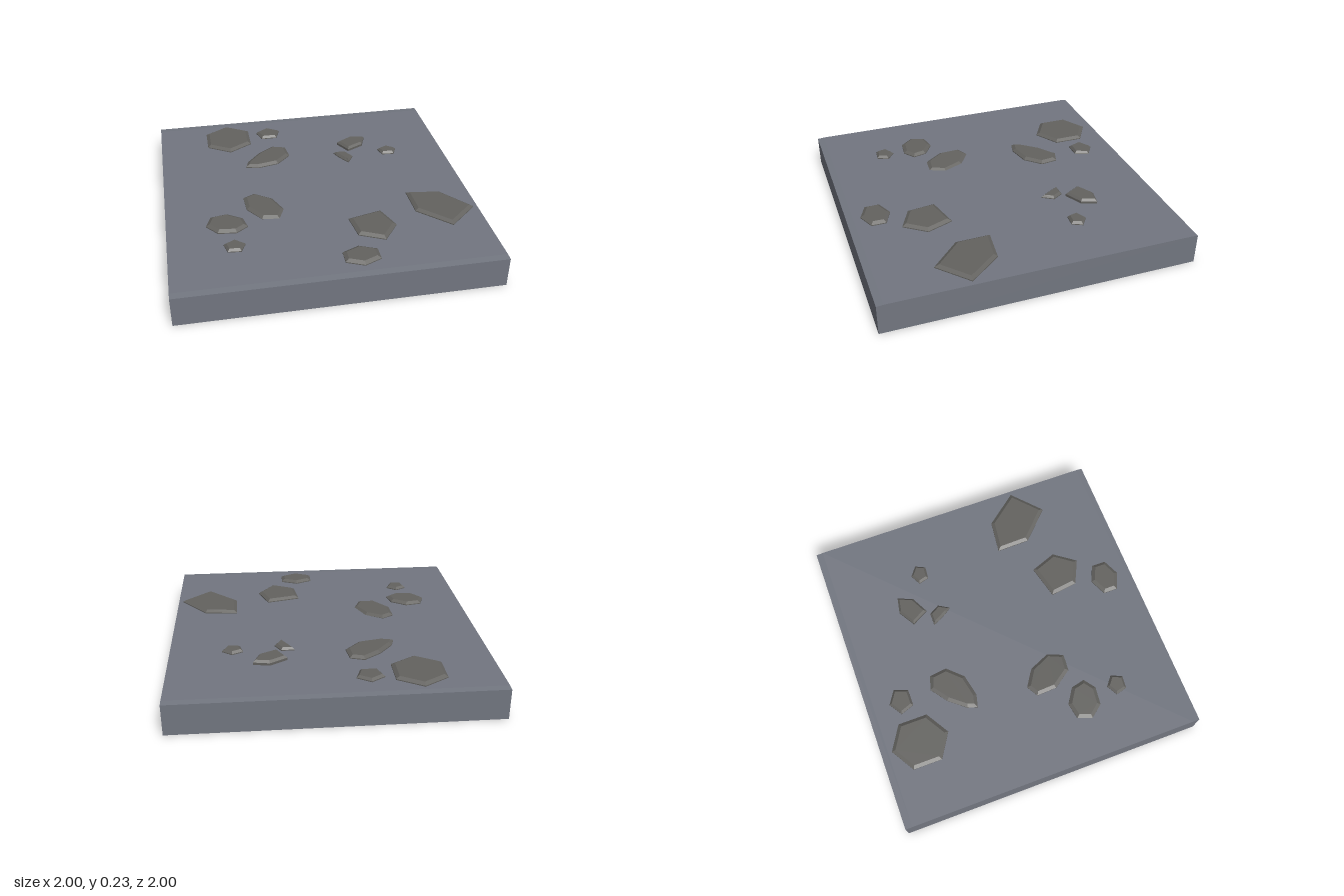
import * as THREE from 'three';

const TOP = 0.2;

// Stones: x, z, half length, half width, turn in degrees, corners, taper, bend, extras
const STONES = [
  [-.51, -.74, .19, .18, 90, 6, 0, 0],
  [-.21, -.77, .08, .09, -90, 5, 0, 0],
  [-.256, -.408, .19, .1, -36, 8, .35, -.025],
  [.38, -.515, .115, .08, -29, 5, -.4, 0, { height: 0.03 }],
  [.297, -.35, .08, .045, 60, 6, 0, .045],
  [.605, -.37, .06, .07, -85, 5, 0, 0],
  [-.37, .19, .175, .11, 60, 7, .1, 0, { slope: -0.04 }],
  [-.62, .35, .135, .105, 20, 7, -.1, 0],
  [-.595, .59, .065, .07, -85, 5, 0, 0],
  [.285, .53, .16, .155, 76, 5, -.3, 0],
  [.745, .38, .24, .17, 228, 5, -.35, 0],
  [.14, .815, .095, .125, -90, 6, 0, 0],
];

// Flat stone: a tapered, bent polygon with a bevelled rim, its lower part sunk into the slab
function makeStone([x, z, length, width, turn, corners, taper, bend, { height = 0.02, slope = 0 } = {}], material) {
  const outline = [];
  for (let i = 0; i < corners; i++) {
    const a = (i / corners) * Math.PI * 2;
    const along = Math.cos(a);
    const across = width * Math.sin(a) * (1 + taper * along) + bend * along * along;
    outline.push(new THREE.Vector2(length * along, -across));
  }
  const bevel = length < 0.12 && width < 0.1 ? 0.014 : 0.022;
  const rise = 0.014, sunk = 0.03;
  const geometry = new THREE.ExtrudeGeometry(new THREE.Shape(outline), {
    depth: sunk + height - 2 * rise, bevelEnabled: true, bevelSegments: 1,
    bevelThickness: rise, bevelSize: bevel, bevelOffset: -bevel,
  });
  geometry.rotateX(-Math.PI / 2);
  geometry.rotateY(-THREE.MathUtils.degToRad(turn));
  geometry.translate(0, TOP - sunk + rise, 0);

  // A sloping stone sinks towards one side
  const pos = geometry.attributes.position;
  for (let i = 0; i < pos.count; i++) pos.setY(i, pos.getY(i) + slope * (pos.getX(i) + width));
  geometry.computeVertexNormals();

  const stone = new THREE.Mesh(geometry, material);
  stone.position.set(x, 0, z);
  return stone;
}

export function createModel() {
  const model = new THREE.Group();
  model.name = 'stoneGroundTile';
  const slabMaterial = new THREE.MeshStandardMaterial({ color: 0x727680 });
  const stoneMaterial = new THREE.MeshStandardMaterial({ color: 0x63625f });

  // Slab: side profile with barely eased front and back edges, swept across x
  const profile = new THREE.Shape([
    [-1, 0], [1, 0], [1, TOP - 0.004], [0.955, TOP], [-0.955, TOP], [-1, TOP - 0.004],
  ].map(([z, y]) => new THREE.Vector2(z, y)));
  const slabGeometry = new THREE.ExtrudeGeometry(profile, { depth: 2, bevelEnabled: false });
  slabGeometry.translate(0, 0, -1);
  slabGeometry.rotateY(Math.PI / 2);
  const slab = new THREE.Mesh(slabGeometry, slabMaterial);
  slab.name = 'slab';
  model.add(slab);

  // Scattered stones
  const stones = new THREE.Group();
  stones.name = 'stones';
  STONES.forEach((spec, i) => {
    const stone = makeStone(spec, stoneMaterial);
    stone.name = `stone${i + 1}`;
    stones.add(stone);
  });
  model.add(stones);
  return model;
}
